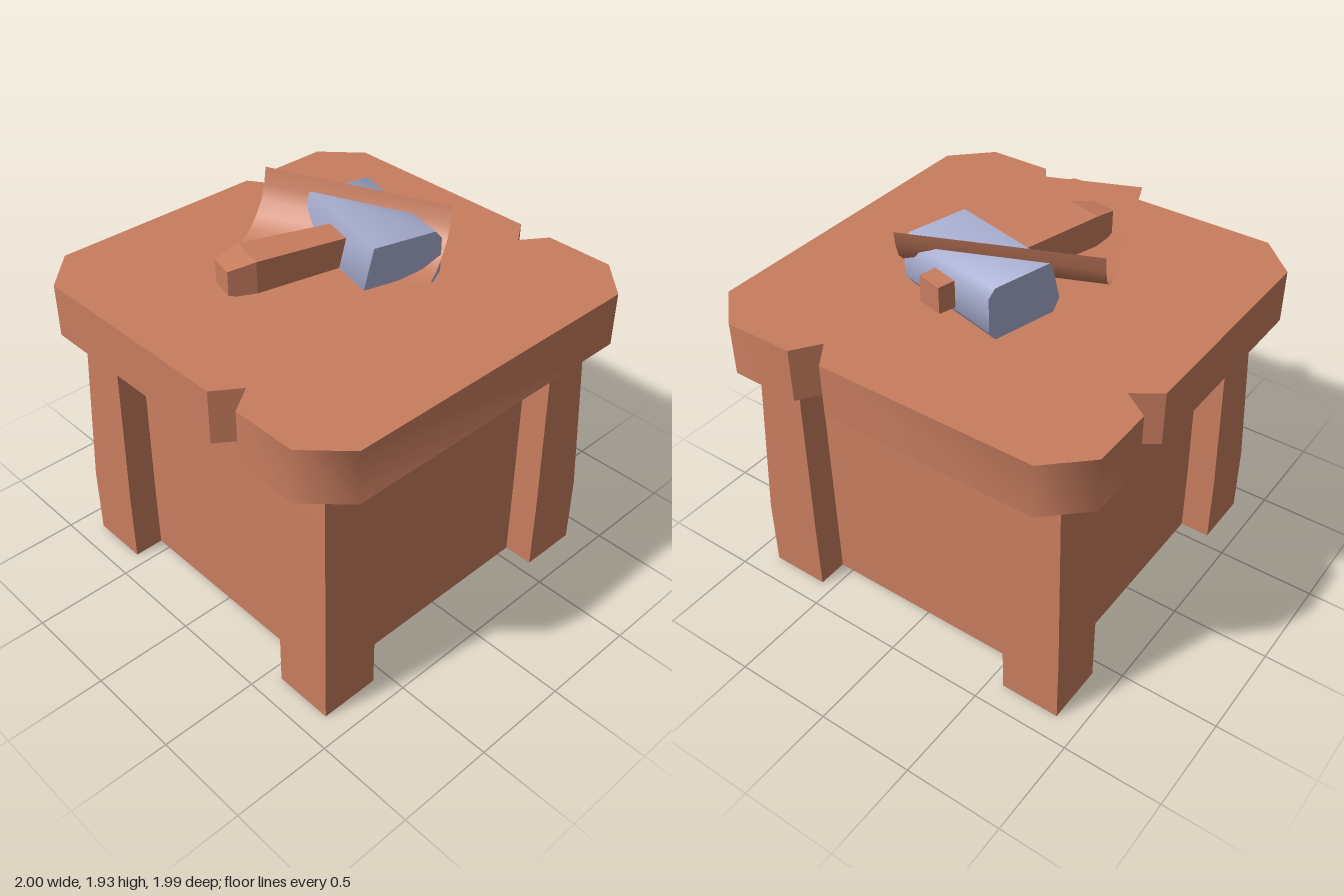
import * as THREE from 'three';
import { toCreasedNormals } from 'three/addons/utils/BufferGeometryUtils.js';

// Box whose width, depth and height follow a list of levels [y, x0, x1, z0, z1]
function leveledBox(levels, crease = 0.3) {
  const n = levels.length - 1;
  const g = new THREE.BoxGeometry(1, 1, 1, 1, n, 1);
  const p = g.attributes.position;
  for (let i = 0; i < p.count; i++) {
    const [y, x0, x1, z0, z1] = levels[Math.round((p.getY(i) + 0.5) * n)];
    p.setXYZ(i, p.getX(i) < 0 ? x0 : x1, y, p.getZ(i) < 0 ? z0 : z1);
  }
  return toCreasedNormals(g, crease);
}

const toShape = (pts) => new THREE.Shape(pts.map(([a, b]) => new THREE.Vector2(a, b)));

export function createModel() {
  const model = new THREE.Group();
  const wood = new THREE.MeshStandardMaterial({ color: 0xc87d5f });
  wood.name = 'wood';
  const steel = new THREE.MeshStandardMaterial({ color: 0xa8aed0 });
  steel.name = 'steel';
  const paper = new THREE.MeshStandardMaterial({ color: 0xc87d5f, side: THREE.DoubleSide });
  paper.name = 'paper';

  const add = (parent, name, geometry, material) => {
    const mesh = new THREE.Mesh(geometry, material);
    mesh.name = name;
    parent.add(mesh);
    return mesh;
  };

  // Slightly tapered body
  const square = (y, r) => [y, -r, r, -r, r];
  add(model, 'body', leveledBox([square(0, 0.72), square(0.37, 0.72), square(1.33, 0.69)]), wood);

  // Four corner legs
  const legProfile = [[0, 0.57, 0.875], [0.37, 0.57, 0.875], [1.33, 0.603, 0.835]];
  for (const sx of [-1, 1]) {
    for (const sz of [-1, 1]) {
      const span = (s, a, b) => (s > 0 ? [a, b] : [-b, -a]);
      const levels = legProfile.map(([y, a, b]) => [y, ...span(sx, a, b), ...span(sz, a, b)]);
      add(model, 'cornerLeg', leveledBox(levels), wood);
    }
  }

  // Table top with cut corners and three chipped notches, outlined in x and z
  const topShape = toShape([
    [-0.81, -1], [0.28, -1], [0.37, -0.87], [0.46, -1], [0.81, -1],
    [0.995, -0.82], [0.995, 0.8], [0.81, 0.985],
    [0.48, 0.985], [0.39, 0.855], [0.3, 0.985], [-0.81, 0.985],
    [-1, 0.8], [-1, -0.32], [-0.87, -0.41], [-1, -0.5], [-1, -0.82],
  ]);
  const topGeo = new THREE.ExtrudeGeometry(topShape, { depth: 0.27, bevelEnabled: false });
  topGeo.rotateX(Math.PI / 2).translate(0, 1.59, 0);
  add(model, 'tableTop', toCreasedNormals(topGeo, 0.87), wood);

  // Hammer lying on the table
  const hammer = new THREE.Group();
  hammer.name = 'hammer';
  hammer.position.set(0.03, 1.73, -0.195);
  hammer.rotation.y = -0.253;
  model.add(hammer);

  // Head: section outline in -z and y, extruded along x
  const headShape = toShape([
    [-0.165, -0.13], [0.165, -0.13], [0.2, -0.08], [0.2, 0.09],
    [0.165, 0.13], [-0.15, 0.13], [-0.2, -0.07],
  ]);
  const headGeo = new THREE.ExtrudeGeometry(headShape, { depth: 0.6, bevelEnabled: false });
  headGeo.rotateY(Math.PI / 2).translate(-0.3, 0, 0);
  add(hammer, 'hammerHead', toCreasedNormals(headGeo, 1.1), steel);

  // Handle widening toward the grip, then tapering at its end
  const section = (along, w, h) => [along, -w, w, -h, h];
  const handleGeo = leveledBox([
    section(-0.287, 0.067, 0.067), section(0.2, 0.077, 0.077),
    section(0.618, 0.093, 0.09), section(0.745, 0.063, 0.06),
  ], 0.2);
  handleGeo.rotateX(Math.PI / 2);
  add(hammer, 'hammerHandle', handleGeo, wood);

  // Sheet of paper curling up at its rear edge: [distance from rear, height]
  const curl = [[0, 1.93], [0.02, 1.85], [0.055, 1.78], [0.11, 1.73], [0.18, 1.685], [0.28, 1.662], [1.135, 1.66]];
  const sheetGeo = new THREE.PlaneGeometry(0.938, 1, 1, curl.length - 1);
  sheetGeo.rotateX(-Math.PI / 2);
  const p = sheetGeo.attributes.position;
  for (let i = 0; i < p.count; i++) {
    const [t, y] = curl[Math.round((p.getZ(i) + 0.5) * (curl.length - 1))];
    p.setXYZ(i, p.getX(i), y, t);
  }
  sheetGeo.computeVertexNormals();
  const sheet = add(model, 'paperSheet', sheetGeo, paper);
  sheet.position.set(-0.095, 0, -0.235);
  sheet.rotation.y = 0.388;

  return model;
}
